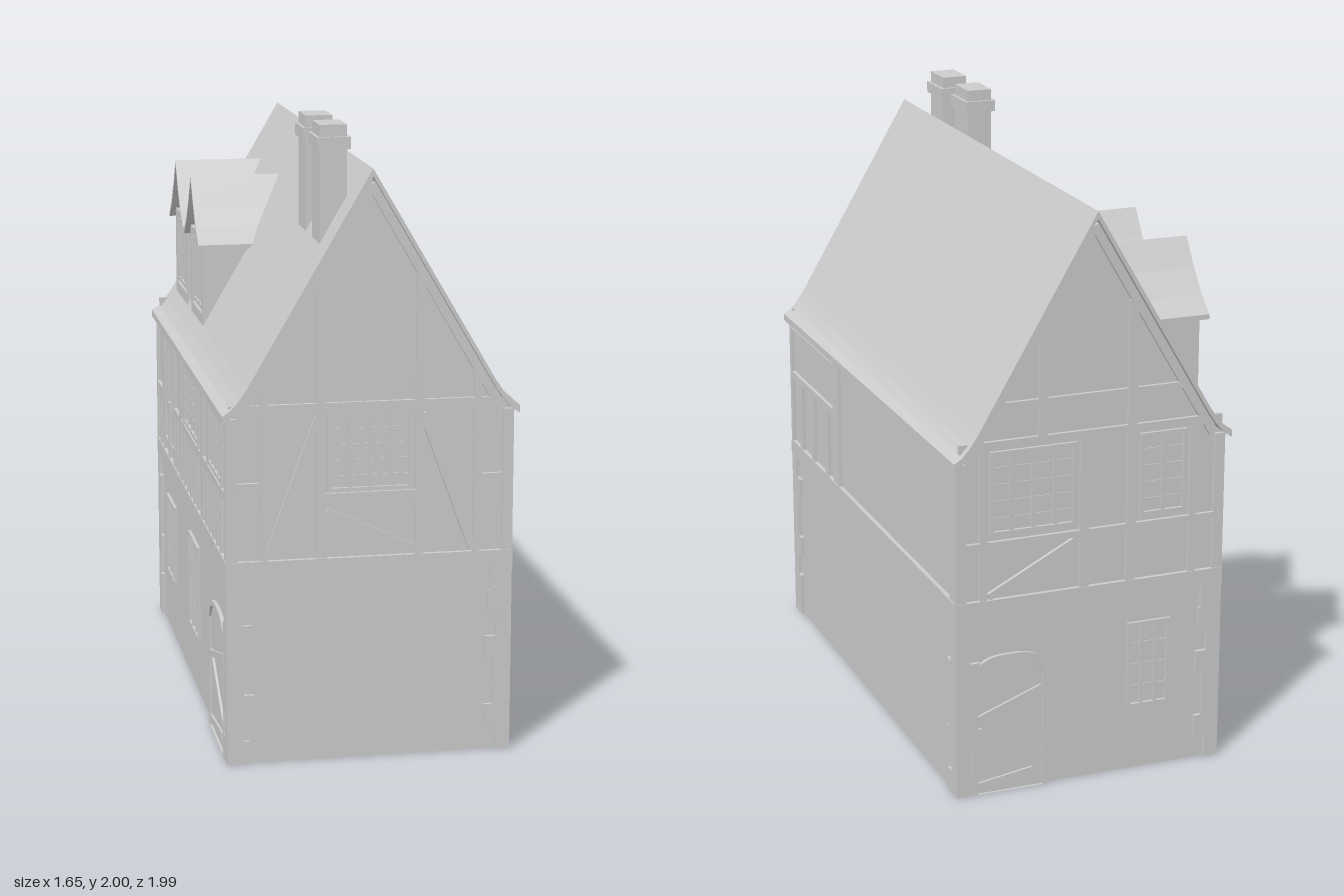
import * as THREE from 'three';

const mat = new THREE.MeshStandardMaterial({ color: 0xcccccc, flatShading: true, side: THREE.DoubleSide });
const HU = 0.443, HV = 0.846, T = 0.012;           // half width, half length, timber relief
const roofY = u => 1.88 - 1.71 * Math.abs(u);      // main roof slope

function add(parent, geo, name) {
  const m = new THREE.Mesh(geo, mat);
  m.name = name;
  parent.add(m);
  return m;
}

// upright block on a wall, from its limits along and up the wall
function block(p, name, x0, x1, y0, y1, d = T, z = 0) {
  const m = add(p, new THREE.BoxGeometry(x1 - x0, y1 - y0, d), name);
  m.position.set((x0 + x1) / 2, (y0 + y1) / 2, z + d / 2);
  return m;
}

// slanted timber between two points
function brace(p, name, x0, y0, x1, y1, w = 0.022, d = T) {
  const m = add(p, new THREE.BoxGeometry(Math.hypot(x1 - x0, y1 - y0), w, d), name);
  m.position.set((x0 + x1) / 2, (y0 + y1) / 2, d / 2);
  m.rotation.z = Math.atan2(y1 - y0, x1 - x0);
}

function shapeOf(pts) {
  return new THREE.Shape(pts.map(([x, y]) => new THREE.Vector2(x, y)));
}

function extrude(shape, depth) {
  return new THREE.ExtrudeGeometry(shape, { depth, bevelEnabled: false, curveSegments: 8 });
}

// framed window with glazing bars
function leadedWindow(p, x0, x1, y0, y1, cols = 3, rows = 4, z = 0) {
  const g = new THREE.Group();
  g.name = 'window';
  g.position.z = z;
  p.add(g);
  const f = 0.013;
  block(g, 'windowJamb', x0, x0 + f, y0, y1, 0.01);
  block(g, 'windowJamb', x1 - f, x1, y0, y1, 0.01);
  block(g, 'windowSill', x0, x1, y0, y0 + f, 0.01);
  block(g, 'windowHead', x0, x1, y1 - f, y1, 0.01);
  for (let i = 1; i < cols; i++) {
    const x = x0 + (x1 - x0) * i / cols;
    block(g, 'mullion', x - 0.006, x + 0.006, y0, y1, 0.008);
  }
  for (let i = 1; i < rows; i++) {
    const y = y0 + (y1 - y0) * i / rows;
    block(g, 'glazingBar', x0, x1, y - 0.002, y + 0.002, 0.003);
  }
}

// arched plank door with frame and slanted braces
function archedDoor(p, x0, x1, h) {
  const g = new THREE.Group();
  g.name = 'door';
  p.add(g);
  const arch = (Ctor, i) => {
    const s = new Ctor(), top = h - i, sh = h - 0.07 - i * 0.5, m = (x0 + x1) / 2;
    s.moveTo(x0 + i, 0);
    s.lineTo(x1 - i, 0);
    s.lineTo(x1 - i, sh);
    s.bezierCurveTo(x1 - i - 0.02, top, m + 0.05, top, m, top);
    s.bezierCurveTo(m - 0.05, top, x0 + i + 0.02, top, x0 + i, sh);
    s.lineTo(x0 + i, 0);
    return s;
  };
  const frame = arch(THREE.Shape, 0);
  frame.holes.push(arch(THREE.Path, 0.017));
  add(g, extrude(frame, T), 'doorFrame');
  add(g, extrude(arch(THREE.Shape, 0.017), 0.004), 'doorLeaf');
  const a = x0 + 0.02, b = x1 - 0.02;
  brace(g, 'doorBrace', a, h * 0.55, b, h * 0.72);
  brace(g, 'doorBrace', a + 0.02, h * 0.58, b, h * 0.2);
  brace(g, 'doorBrace', a, h * 0.06, b - 0.03, h * 0.12);
}

// wall frame: x runs along the wall, z points outwards
function wall(house, name, angle, dist, half) {
  const g = new THREE.Group();
  g.name = name;
  g.rotation.y = angle;
  g.position.set(Math.sin(angle) * dist, 0, Math.cos(angle) * dist);
  house.add(g);
  const gable = half === HU;
  const pts = gable
    ? [[-half, 0], [half, 0], [half, 1.11], [0.4, 1.165], [0, 1.85], [-0.4, 1.165], [-half, 1.11]]
    : [[-half, 0], [half, 0], [half, 1.12], [-half, 1.12]];
  add(g, new THREE.ShapeGeometry(shapeOf(pts)), 'plaster');
  block(g, 'sillBeam', -half - T, half + T, 0.605, 0.66, T + 0.002);
  for (const s of [-1, 1]) {
    const e = s * (half + T), inner = s * (half - (gable ? 0.022 : 0.008));
    block(g, 'cornerPost', Math.min(e, inner), Math.max(e, inner), 0.66, 1.115);
    // irregular corner stones
    for (let i = 0; i < 8; i++) {
      const w = 0.055 + 0.02 * Math.sin(i * 2.4 + s + half * 9), q = s * (half - w);
      block(g, 'cornerStone', Math.min(e, q), Math.max(e, q), i * 0.0756, (i + 1) * 0.0756);
    }
  }
  if (gable) for (const s of [-1, 1]) brace(g, 'rakeTimber', s * 0.415, 1.12, 0, 1.83, 0.03);
  return g;
}

const studs = (g, list, y0, y1) => list.forEach(([a, b]) => block(g, 'stud', a, b, y0, y1 ?? roofY(Math.max(Math.abs(a), Math.abs(b))) - 0.04));
const rails = (g, list) => list.forEach(([a, b, y0, y1]) => block(g, 'rail', a, b, y0, y1));

export function createModel() {
  const model = new THREE.Group();
  model.name = 'timberFramedHouse';
  const house = new THREE.Group();
  house.name = 'house';
  house.rotation.y = -0.492;
  model.add(house);

  // front gable
  const front = wall(house, 'frontGable', 0, HV, HU);
  studs(front, [[-0.35, -0.325], [-0.168, -0.143], [0.143, 0.168], [0.328, 0.352]], 0.66);
  rails(front, [[-HU, HU, 1.12, 1.155], [-0.42, -0.35, 0.885, 0.91], [0.35, 0.42, 0.885, 0.91], [-0.143, 0.143, 0.83, 0.868]]);
  brace(front, 'brace', -0.165, 1.11, -0.325, 0.67);
  brace(front, 'brace', 0.165, 1.11, 0.325, 0.67);
  brace(front, 'brace', -0.14, 0.81, 0.14, 0.68);
  leadedWindow(front, -0.135, 0.135, 0.87, 1.12, 4, 5);

  // back gable
  const back = wall(house, 'backGable', Math.PI, HV, HU);
  studs(back, [[-0.375, -0.35], [-0.04, -0.01], [0.12, 0.15], [0.335, 0.36]], 0.66, 1.16);
  studs(back, [[-0.18, -0.15], [0.12, 0.15]], 1.16);
  rails(back, [[-HU, HU, 0.83, 0.852], [-HU, HU, 1.15, 1.18], [-0.33, 0.33, 1.28, 1.3]]);
  brace(back, 'brace', -0.345, 0.67, -0.045, 0.825);
  leadedWindow(back, -0.34, -0.05, 0.87, 1.145, 4, 5);
  leadedWindow(back, 0.165, 0.325, 0.87, 1.145, 2, 5);
  leadedWindow(back, 0.13, 0.28, 0.215, 0.51, 3, 4);
  archedDoor(back, -0.4, -0.145, 0.47);

  // plain long side
  const plain = wall(house, 'plainLongSide', Math.PI / 2, HU, HV);
  studs(plain, [[-0.753, -0.722], [-0.619, -0.583], [-0.461, -0.425]], 0.66, 0.905);
  studs(plain, [[-0.364, -0.303], [0.8, HV]], 0.66, 1.11);
  rails(plain, [[-HV, -0.33, 0.9, 0.925], [-HV, -0.33, 1.075, 1.09], [-HV, HV, 1.1, 1.12]]);

  // long side with windows and door
  const yard = wall(house, 'yardLongSide', -Math.PI / 2, HU, HV);
  studs(yard, [[-0.69, -0.665], [-0.4, -0.375], [-0.24, -0.19], [0.29, 0.34], [0.82, HV]], 0.66, 1.11);
  studs(yard, [-0.76, -0.53, -0.31, -0.12, -0.04, 0.04, 0.12, 0.2, 0.41, 0.49, 0.57, 0.65, 0.73].map(x => [x - 0.012, x + 0.012]), 0.66, 0.86);
  studs(yard, [[-0.15, -0.13], [0.22, 0.24], [0.43, 0.45], [0.74, 0.76]], 0.86, 1.11);
  rails(yard, [[-HV, HV, 1.09, 1.12], [-HV, -0.68, 0.85, 0.875], [-0.39, HV, 0.85, 0.875]]);
  leadedWindow(yard, -0.66, -0.405, 0.7, 1.09, 3, 5);
  leadedWindow(yard, -0.13, 0.22, 0.88, 1.09, 4, 4);
  leadedWindow(yard, 0.45, 0.74, 0.88, 1.09, 4, 4);
  leadedWindow(yard, -0.64, -0.42, 0.21, 0.5, 3, 4);
  leadedWindow(yard, -0.05, 0.18, 0.19, 0.52, 3, 4);
  archedDoor(yard, 0.45, 0.78, 0.45);

  // main roof with flared eaves
  const half = [[0, 1.88], [0.39, 1.213], [0.415, 1.177], [0.44, 1.148], [0.467, 1.13]];
  const sheet = (pts, t) => {
    const outer = [...pts.slice(1).reverse().map(([x, y]) => [-x, y]), ...pts];
    return shapeOf([...outer, ...outer.map(([x, y]) => [x, y - t]).reverse()]);
  };
  add(house, extrude(sheet(half, 0.024), 1.76), 'roof').position.z = -0.88;

  // dormers
  for (const v of [-0.645, -0.25]) {
    const d = new THREE.Group();
    d.name = 'dormer';
    d.rotation.y = -Math.PI / 2;
    d.position.z = v;
    house.add(d);
    const roof = [[0, 1.71], [0.06, 1.622], [0.12, 1.55], [0.18, 1.5]];
    add(d, extrude(sheet(roof, 0.016), 0.315), 'dormerRoof').position.z = 0.09;
    const body = shapeOf([[-0.145, 1.2], [0.145, 1.2], [0.145, 1.515], [0.06, 1.61], [0, 1.695], [-0.06, 1.61], [-0.145, 1.515]]);
    add(d, extrude(body, 0.2), 'dormerWall').position.z = 0.175;
    for (const s of [-1, 1]) block(d, 'dormerPost', s * 0.133 - 0.014, s * 0.133 + 0.014, 1.2, 1.52, T, 0.375);
    block(d, 'dormerSill', -0.147, 0.147, 1.2, 1.255, T, 0.375);
    block(d, 'dormerRail', -0.147, 0.147, 1.495, 1.52, T, 0.375);
    leadedWindow(d, -0.1, 0.1, 1.265, 1.49, 3, 4, 0.375);
  }

  // chimneys
  for (const v of [0.45, 0.694]) {
    const c = new THREE.Group();
    c.name = 'chimney';
    c.position.set(-0.1, 0, v);
    house.add(c);
    block(c, 'chimneyShaft', -0.043, 0.043, 1.6, 2, 0.126, -0.063);
    block(c, 'chimneyCollar', -0.053, 0.053, 1.925, 1.963, 0.146, -0.073);
  }
  return model;
}
